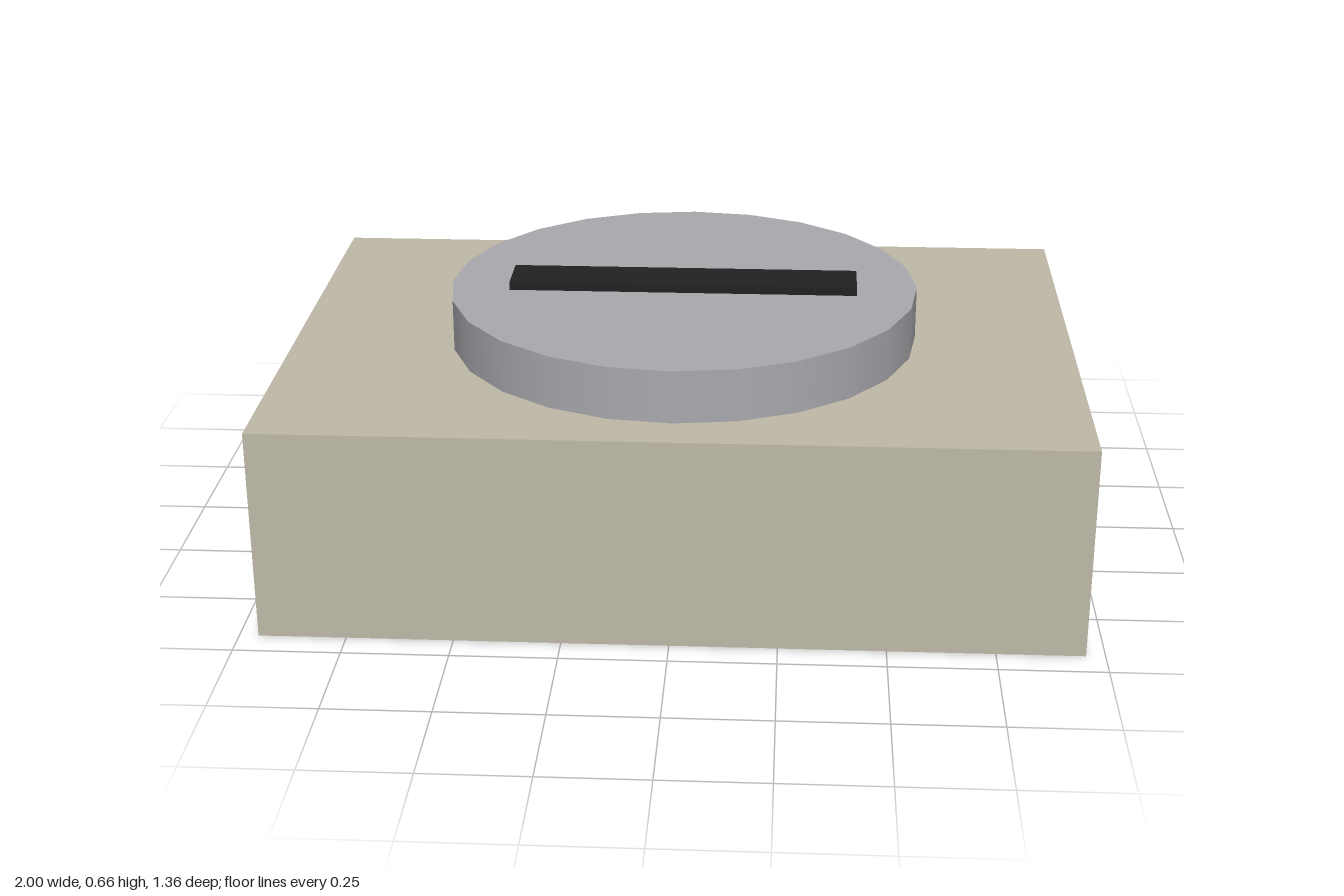
import * as THREE from 'three';

const material = (name, color) => {
  const m = new THREE.MeshStandardMaterial({ color });
  m.name = name;
  return m;
};

export function createModel() {
  const model = new THREE.Group();
  model.name = 'trimmer';
  const beige = material('beige plastic', 0xbeb9a8);
  const metal = material('grey metal', 0xaaa9ae);
  const black = material('black', 0x202121);

  const add = (name, geometry, mat, x, y, z) => {
    const mesh = new THREE.Mesh(geometry, mat);
    mesh.name = name;
    mesh.position.set(x, y, z);
    model.add(mesh);
  };
  // Box given by its two x limits, two y limits and depth
  const box = (name, mat, x0, x1, y0, y1, depth) =>
    add(name, new THREE.BoxGeometry(x1 - x0, y1 - y0, depth), mat, (x0 + x1) / 2, (y0 + y1) / 2, 0);

  // Housing
  box('body', beige, -0.955, 0.955, 0.001, 0.513, 1.36);

  // Rotor disc with its screwdriver slot
  add('rotorDisc', new THREE.CylinderGeometry(0.573, 0.573, 0.14, 24), metal, 0, 0.57, 0);
  box('rotorSlot', black, -0.425, 0.425, 0.63, 0.66, 0.126);

  // Solder terminals: one lies flush under the body, the other enters its side
  box('rightTerminal', metal, -1, -0.67, 0, 0.064, 0.596);
  box('leftTerminal', metal, 0.67, 1, 0.002, 0.064, 0.596);

  return model;
}
